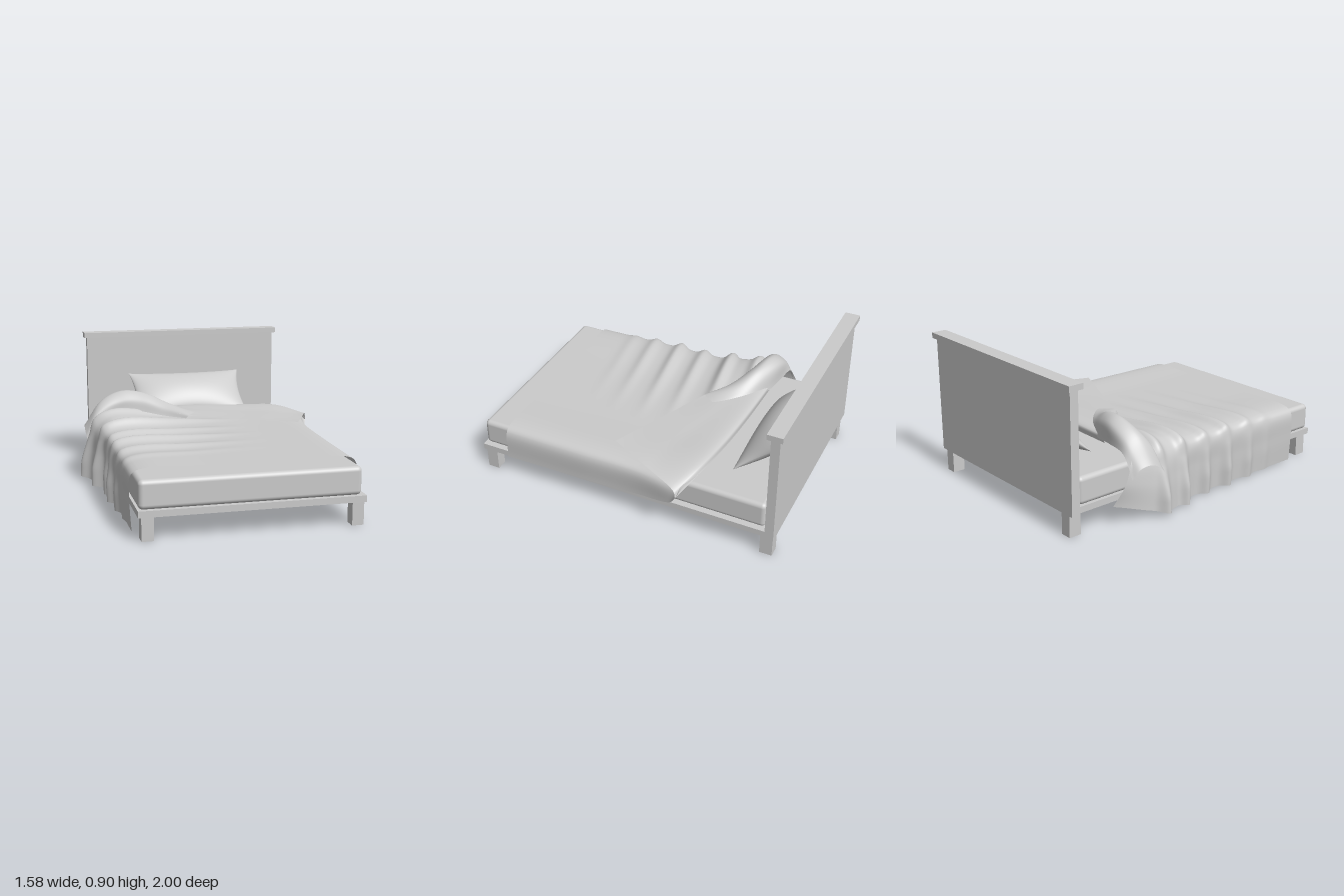
import * as THREE from 'three';
import { RoundedBoxGeometry } from 'three/addons/geometries/RoundedBoxGeometry.js';

const grey = new THREE.MeshStandardMaterial({ color: 0xcccccc });
const cloth = new THREE.MeshStandardMaterial({ color: 0xcccccc, side: THREE.DoubleSide });

// Grid surface from a rule point(u, v), with u and v in 0..1
function surface(point, nu, nv) {
  const pos = [], index = [];
  for (let j = 0; j <= nv; j++) {
    for (let i = 0; i <= nu; i++) pos.push(...point(i / nu, j / nv).toArray());
  }
  for (let j = 0; j < nv; j++) {
    for (let i = 0; i < nu; i++) {
      const a = j * (nu + 1) + i, b = a + 1, c = a + nu + 1, d = c + 1;
      index.push(a, b, c, b, d, c);
    }
  }
  const g = new THREE.BufferGeometry();
  g.setAttribute('position', new THREE.Float32BufferAttribute(pos, 3));
  g.setIndex(index);
  g.computeVertexNormals();
  return g;
}

// Smooth cloth through rows of control points, with an optional displacement
function loft(rows, nu, nv, displace = (p) => p) {
  const curves = rows.map((r) => new THREE.CatmullRomCurve3(r.map((p) => new THREE.Vector3(...p))));
  const columns = [];
  for (let i = 0; i <= nu; i++) {
    columns.push(new THREE.CatmullRomCurve3(curves.map((c) => c.getPoint(i / nu))));
  }
  return surface((u, v) => displace(columns[Math.round(u * nu)].getPoint(v)), nu, nv);
}

// Creases that run down the left drape and fade out across the top
const creases = [[-0.37, 0.05], [-0.17, 0.055], [0.03, 0.04], [0.21, 0.045], [0.4, 0.03], [0.56, 0.012]];
function wrinkle(p) {
  let s = 0;
  for (const [z0, width] of creases) {
    const d = (p.z - z0 + 0.12 * Math.max(0, p.x + 0.62)) / 0.04;
    s += width * Math.exp(-d * d);
  }
  const side = 1 - THREE.MathUtils.smoothstep(p.x, -0.66, -0.55);
  const fade = 1 - THREE.MathUtils.smoothstep(p.x, -0.5, 0.3);
  const drop = THREE.MathUtils.clamp((0.42 - p.y) / 0.3, 0.35, 1);
  p.x -= s * side * drop * 1.1;
  if (p.y > 0.3) p.y += s * fade * 0.7 * THREE.MathUtils.smoothstep(p.y, 0.3, 0.36);
  return p;
}

function pillowGeometry(sign) {
  return surface((s, t) => {
    const u = Math.sin((s - 0.5) * Math.PI), v = Math.sin((t - 0.5) * Math.PI);
    const puff = Math.pow(Math.max(0, (1 - u * u) * (1 - v * v)), 0.55);
    return new THREE.Vector3(
      0.4 * u * (1 - 0.07 * (1 - v * v)),
      sign * 0.088 * puff,
      -sign * 0.2 * v * (1 - 0.13 * (1 - u * u)),
    );
  }, 40, 28);
}

export function createModel() {
  const model = new THREE.Group();
  const add = (name, geometry, material = grey, parent = model) => {
    const mesh = new THREE.Mesh(geometry, material);
    mesh.name = name;
    parent.add(mesh);
    return mesh;
  };
  // Box given by its limits
  const box = (name, x0, x1, y0, y1, z0, z1) =>
    add(name, new THREE.BoxGeometry(x1 - x0, y1 - y0, z1 - z0))
      .position.set((x0 + x1) / 2, (y0 + y1) / 2, (z0 + z1) / 2);

  // Wooden frame
  box('baseFrame', -0.64, 0.68, 0.14, 0.178, -0.92, 1);
  box('headboard', -0.66, 0.695, 0.14, 0.87, -0.98, -0.925);
  box('headboardCap', -0.68, 0.715, 0.87, 0.905, -1, -0.905);
  for (const x of [-0.62, 0.6]) {
    box('frontLeg', x, x + 0.07, 0, 0.14, 0.91, 0.985);
    box('backLeg', x, x + 0.07, 0, 0.14, -0.97, -0.892);
  }

  // Mattress
  add('mattress', new RoundedBoxGeometry(1.29, 0.168, 1.9, 4, 0.028)).position.set(0.01, 0.262, 0.04);

  // Pillow leaning on the headboard
  const pillow = new THREE.Group();
  pillow.name = 'pillow';
  add('pillowTop', pillowGeometry(1), cloth, pillow);
  add('pillowBottom', pillowGeometry(-1), cloth, pillow);
  pillow.position.set(0.03, 0.475, -0.767);
  pillow.rotation.x = 0.7;
  model.add(pillow);

  // Blanket, from the foot to the head, each row from left hem to right hem
  const row = (z, pts) => pts.map(([x, y]) => [x, y, z]);
  add('blanket', loft([
    row(0.81, [[-0.645, 0.005], [-0.655, 0.18], [-0.648, 0.33], [-0.6, 0.362], [-0.2, 0.365],
      [0.3, 0.365], [0.63, 0.362], [0.68, 0.33], [0.69, 0.145]]),
    row(0.3, [[-0.65, 0.008], [-0.655, 0.18], [-0.65, 0.335], [-0.6, 0.37], [-0.2, 0.368],
      [0.3, 0.367], [0.63, 0.367], [0.683, 0.33], [0.69, 0.155]]),
    row(-0.1, [[-0.66, 0.005], [-0.66, 0.2], [-0.65, 0.34], [-0.59, 0.38], [-0.2, 0.378],
      [0.3, 0.372], [0.63, 0.372], [0.69, 0.34], [0.7, 0.18]]),
    row(-0.34, [[-0.735, 0.02], [-0.72, 0.2], [-0.68, 0.36], [-0.58, 0.43], [-0.22, 0.4],
      [0.3, 0.38], [0.64, 0.38], [0.73, 0.35], [0.75, 0.24]]),
    [[-0.67, 0.125, -0.7], [-0.7, 0.25, -0.63], [-0.67, 0.38, -0.57], [-0.56, 0.4, -0.54], [-0.25, 0.39, -0.535],
      [0.3, 0.39, -0.51], [0.6, 0.39, -0.47], [0.74, 0.37, -0.425], [0.785, 0.32, -0.4]],
  ], 64, 150, wrinkle), cloth);

  // Corner of the blanket turned back over the top
  add('turnedBackCorner', loft([
    [[-0.4, 0.39, -0.54], [0, 0.39, -0.53], [0.3, 0.39, -0.51], [0.6, 0.39, -0.47], [0.785, 0.32, -0.4]],
    [[-0.38, 0.43, -0.54], [0, 0.432, -0.525], [0.3, 0.428, -0.5], [0.59, 0.42, -0.455], [0.775, 0.36, -0.385]],
    [[-0.22, 0.45, -0.38], [0.05, 0.44, -0.33], [0.28, 0.43, -0.27], [0.52, 0.425, -0.2], [0.69, 0.405, -0.17]],
    [[-0.15, 0.44, -0.24], [0.02, 0.43, -0.15], [0.2, 0.425, -0.07], [0.38, 0.422, 0.015], [0.565, 0.42, 0.1]],
  ], 40, 30), cloth);

  // Raised twist where the fold starts, rows from its front to its back
  add('twistedFold', loft([
    [[-0.74, 0.27, -0.37], [-0.66, 0.39, -0.4], [-0.52, 0.45, -0.42], [-0.38, 0.44, -0.38], [-0.24, 0.42, -0.3], [-0.11, 0.415, -0.2]],
    [[-0.745, 0.3, -0.4], [-0.66, 0.44, -0.42], [-0.5, 0.51, -0.43], [-0.36, 0.51, -0.4], [-0.22, 0.465, -0.32], [-0.09, 0.435, -0.2]],
    [[-0.745, 0.34, -0.47], [-0.63, 0.5, -0.49], [-0.49, 0.562, -0.49], [-0.34, 0.548, -0.46], [-0.2, 0.49, -0.38], [-0.06, 0.44, -0.23]],
    [[-0.73, 0.33, -0.54], [-0.62, 0.47, -0.56], [-0.48, 0.53, -0.56], [-0.34, 0.51, -0.52], [-0.18, 0.465, -0.43], [-0.02, 0.44, -0.29]],
    [[-0.71, 0.27, -0.59], [-0.63, 0.4, -0.59], [-0.48, 0.42, -0.575], [-0.34, 0.41, -0.545], [-0.17, 0.42, -0.47], [0, 0.43, -0.34]],
  ], 40, 28), cloth);

  return model;
}
